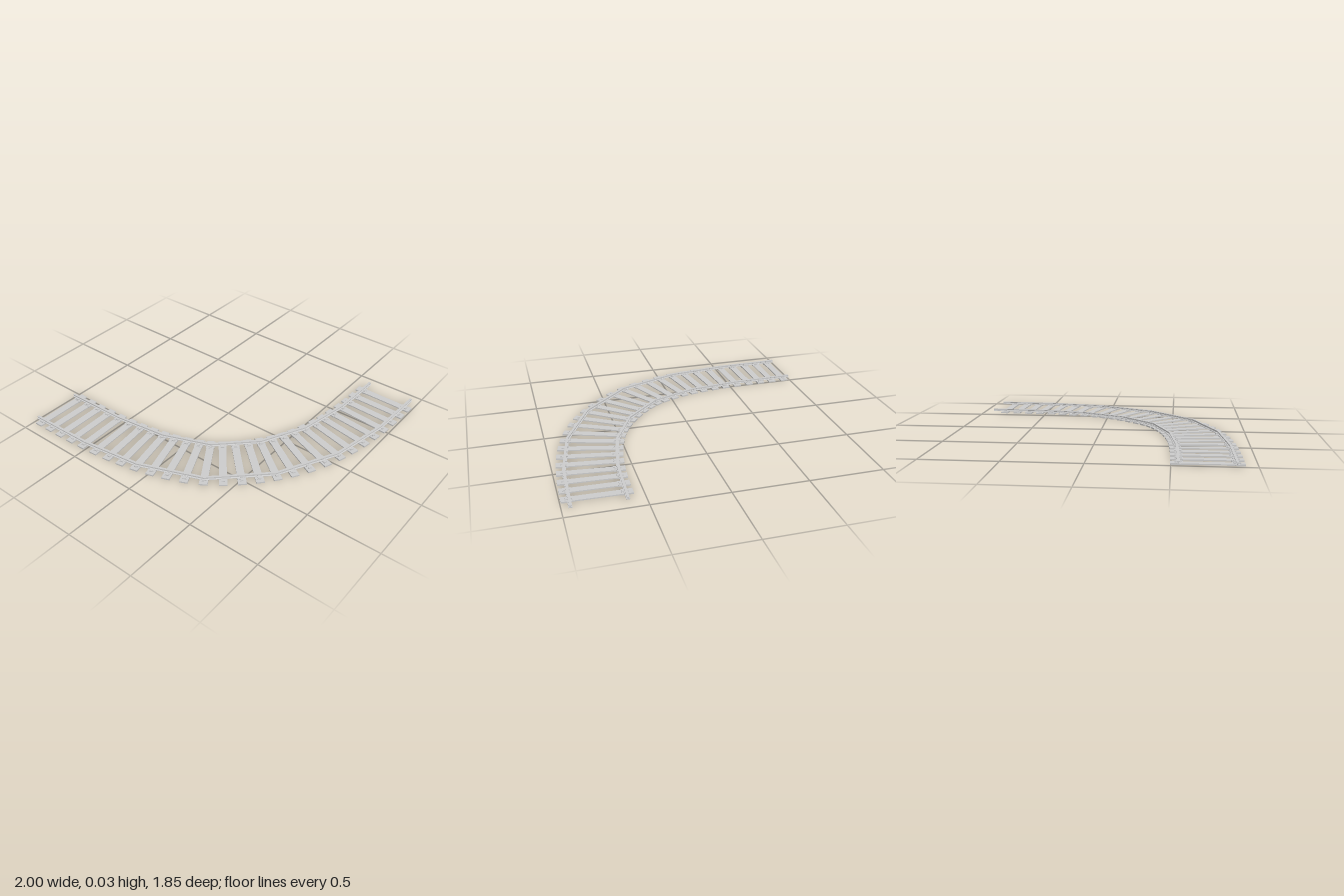
import * as THREE from 'three';

const SLEEPERS = 28;
const GAUGE = 0.168; // half distance between the rails

// Centre line: one control point every three sleepers, with one spare at each end
const centre = new THREE.CatmullRomCurve3([
  [-1.25, 0.711], [-0.949, 0.711], [-0.65, 0.706], [-0.342, 0.684], [-0.051, 0.626],
  [0.227, 0.508], [0.452, 0.307], [0.618, 0.062], [0.719, -0.23],
  [0.765, -0.529], [0.778, -0.826], [0.778, -1.126],
].map(([x, z]) => new THREE.Vector3(x, 0, z)));

// Position and outward direction at a sleeper number (fractions allowed)
function station(s) {
  const t = (s + 3) / 33;
  const d = centre.getTangent(t);
  return { p: centre.getPoint(t), n: new THREE.Vector3(-d.z, 0, d.x) };
}

// Half of the rail section: foot, web and head
const half = [[0.012, 0.01], [0.012, 0.013], [0.004, 0.015], [0.004, 0.021], [0.008, 0.023], [0.008, 0.028]];
const section = [...half, ...half.slice().reverse().map(([x, y]) => [-x, y])];

// Sweeps the rail section through straight lengths with mitred corners
function railGeometry(offset) {
  const stations = [-0.53, 4, 8, 12, 16, 20, 24, 28];
  const rings = stations.map((s) => {
    const { p, n } = station(s);
    return section.map(([x, y]) => p.clone().addScaledVector(n, offset + x).setY(y));
  });
  const out = [];
  const tri = (...v) => v.forEach((q) => out.push(q.x, q.y, q.z));
  for (let i = 0; i < rings.length - 1; i++) {
    for (let j = 0; j < section.length; j++) {
      const k = (j + 1) % section.length;
      const [a0, b0, a1, b1] = [rings[i][j], rings[i][k], rings[i + 1][j], rings[i + 1][k]];
      tri(a1, b1, b0);
      tri(a1, b0, a0);
    }
  }
  // End caps
  const last = rings[rings.length - 1];
  const caps = THREE.ShapeUtils.triangulateShape(section.map(([x, y]) => new THREE.Vector2(x, y)), []);
  for (const [a, b, c] of caps) {
    tri(rings[0][a], rings[0][b], rings[0][c]);
    tri(last[c], last[b], last[a]);
  }
  const g = new THREE.BufferGeometry();
  g.setAttribute('position', new THREE.Float32BufferAttribute(out, 3));
  g.computeVertexNormals();
  return g;
}

export function createModel() {
  const model = new THREE.Group();
  model.name = 'curvedTrack';
  const material = new THREE.MeshStandardMaterial({ color: 0xcccccc });
  const add = (parent, name, geometry, x = 0, y = 0) => {
    const mesh = new THREE.Mesh(geometry, material);
    mesh.name = name;
    mesh.position.set(x, y, 0);
    parent.add(mesh);
    return mesh;
  };

  // Rails
  add(model, 'innerRail', railGeometry(-GAUGE));
  add(model, 'outerRail', railGeometry(GAUGE));

  // Sleepers with broader ends, and a plate and two clips under each rail
  const beam = new THREE.BoxGeometry(0.29, 0.008, 0.05);
  const end = new THREE.BoxGeometry(0.076, 0.01, 0.055);
  const plate = new THREE.BoxGeometry(0.044, 0.003, 0.026);
  const clip = new THREE.BoxGeometry(0.012, 0.005, 0.02);
  for (let i = 0; i < SLEEPERS; i++) {
    const { p, n } = station(i);
    const sleeper = new THREE.Group();
    sleeper.name = 'sleeper';
    sleeper.position.copy(p);
    sleeper.rotation.y = Math.atan2(-n.z, n.x);
    add(sleeper, 'sleeperBeam', beam, 0, 0.005);
    for (const side of [-1, 1]) {
      add(sleeper, 'sleeperEnd', end, side * 0.178, 0.005);
      add(sleeper, 'railPlate', plate, side * GAUGE, 0.011);
      for (const d of [-0.015, 0.015]) add(sleeper, 'railClip', clip, side * GAUGE + d, 0.0145);
    }
    model.add(sleeper);
  }
  return model;
}
